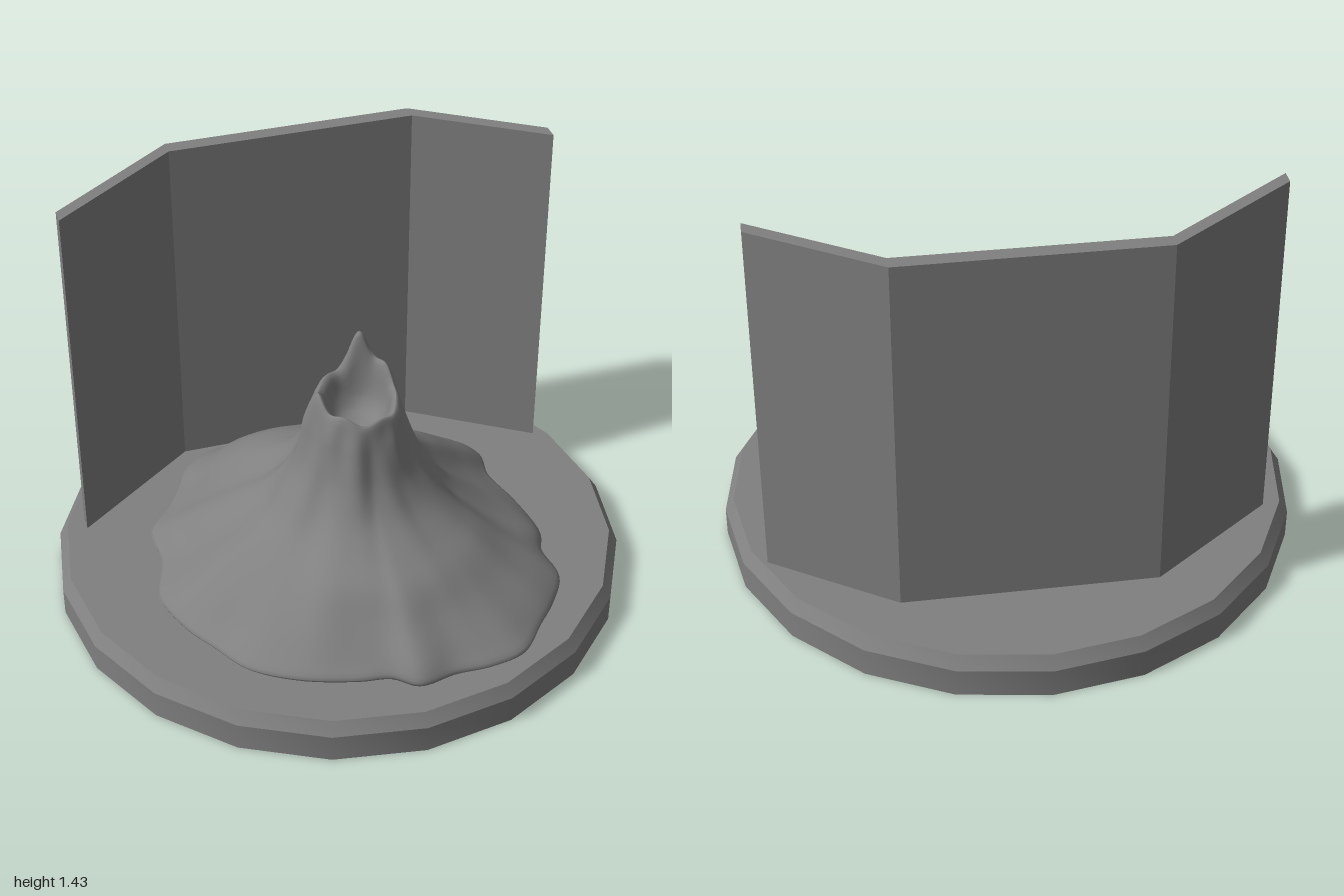
import * as THREE from 'three';
import { toCreasedNormals } from 'three/addons/utils/BufferGeometryUtils.js';

const stone = new THREE.MeshStandardMaterial({ color: 0x808080 });

const CX = 0.02, CZ = 0.18; // axis of the cone
const COLS = 160, ROWS = 56;

// Wavy foot of the mountain as x, z pairs: left, back, right, front
const FOOT = [
  [-0.7, 0.2], [-0.65, 0.02], [-0.65, -0.15], [-0.57, -0.25], [-0.5, -0.36], [-0.45, -0.46], [-0.35, -0.53],
  [-0.17, -0.55], [0.05, -0.52], [0.2, -0.48], [0.33, -0.46], [0.42, -0.38], [0.55, -0.33], [0.62, -0.22],
  [0.61, -0.1], [0.65, 0.07], [0.67, 0.27], [0.64, 0.36], [0.65, 0.5], [0.58, 0.62], [0.5, 0.71],
  [0.4, 0.82], [0.28, 0.85], [0.15, 0.85], [0.02, 0.87], [-0.06, 0.81], [-0.17, 0.79], [-0.35, 0.73],
  [-0.5, 0.63], [-0.58, 0.5], [-0.65, 0.38],
];

// Slope levels: height, then reach to the left, right, back and front
const SLOPE = [
  [0.21, 0.64, 0.61, 0.66, 0.64],
  [0.3, 0.52, 0.48, 0.6, 0.54],
  [0.38, 0.4, 0.38, 0.52, 0.46],
  [0.44, 0.32, 0.32, 0.42, 0.36],
  [0.51, 0.27, 0.27, 0.31, 0.27],
  [0.6, 0.22, 0.22, 0.25, 0.215],
  [0.7, 0.19, 0.18, 0.21, 0.185],
  [0.78, 0.175, 0.15, 0.185, 0.165],
];

// Reach in direction (s, c), s towards +x and c towards +z
function reach([, left, right, back, front], s, c) {
  return s * s * (s < 0 ? left : right) + c * c * (c < 0 ? back : front);
}

// Jagged crater rim: low in front, rising to a horn at the back
function rimHeight(a) {
  const bump = (at, width) => {
    const d = Math.atan2(Math.sin(a - at), Math.cos(a - at));
    return Math.exp(-((d / width) ** 2));
  };
  return 0.85 + 0.09 * bump(2.85, 0.3) + 0.08 * bump(2.5, 1) + 0.03 * bump(-1.5, 0.4)
    + 0.01 * Math.sin(7 * a) - 0.015 * bump(0.2, 0.7);
}

// One column of the mountain, from the foot over the rim into the crater
function column(foot) {
  const dx = foot.x - CX, dz = foot.z - CZ, r = Math.hypot(dx, dz);
  const s = dx / r, c = dz / r, a = Math.atan2(s, c);
  const at = (radius, y) => new THREE.Vector3(CX + s * radius, y, CZ + c * radius);
  const wave = r / reach([0, 0.71, 0.65, 0.72, 0.68], s, c);
  const pts = [at(r * 0.97, 0.14), at(r, 0.165)];
  for (const level of SLOPE) {
    const y = level[0], low = Math.max(0, 1 - (y - 0.2) / 0.45);
    const ripple = 0.03 * Math.sin(5 * a + 1 + y * 4) + 0.025 * Math.sin(9 * a + 2 - y * 5)
      + 0.012 * Math.sin(14 * a + y * 9);
    pts.push(at(reach(level, s, c) * (1 + (wave - 1) * low + ripple * (1 - low * 0.6)), y));
  }
  const h = rimHeight(a);
  const rim = reach([0, 0.145, 0.12, 0.135, 0.145], s, c);
  pts.push(at(rim, h), at(rim * 0.88, h - 0.015), at(rim * 0.74, 0.79), at(rim * 0.5, 0.74), at(0.001, 0.72));
  return new THREE.CatmullRomCurve3(pts, false, 'centripetal');
}

function mountainGeometry() {
  const foot = new THREE.CatmullRomCurve3(FOOT.map(([x, z]) => new THREE.Vector3(x, 0, z)), true);
  const pos = [], index = [];
  for (let i = 0; i < COLS; i++) {
    const curve = column(foot.getPoint(i / COLS));
    for (let j = 0; j <= ROWS; j++) pos.push(...curve.getPoint(j / ROWS).toArray());
  }
  for (let i = 0; i < COLS; i++) {
    for (let j = 0; j < ROWS; j++) {
      const a = i * (ROWS + 1) + j, b = ((i + 1) % COLS) * (ROWS + 1) + j;
      index.push(a, a + 1, b, b, a + 1, b + 1);
    }
  }
  const geo = new THREE.BufferGeometry();
  geo.setAttribute('position', new THREE.Float32BufferAttribute(pos, 3));
  geo.setIndex(index);
  geo.computeVertexNormals();
  return geo;
}

// Twenty-sided base with a chamfered top edge, smooth around its side
function baseGeometry() {
  const profile = [[0, 0], [1, 0], [1, 0.1], [0.97, 0.145], [0, 0.145]];
  const geo = new THREE.LatheGeometry(profile.map(([x, y]) => new THREE.Vector2(x, y)), 20);
  return toCreasedNormals(geo, 0.45);
}

// Folded backdrop: plan outline raised to full height
function backdropGeometry() {
  const plan = [
    [-0.86, -0.31], [-0.86, -0.255], [-0.42, -0.59], [0.45, -0.59],
    [0.87, -0.315], [0.87, -0.37], [0.45, -0.645], [-0.42, -0.645],
  ];
  const shape = new THREE.Shape(plan.map(([x, z]) => new THREE.Vector2(x, -z)));
  const geo = new THREE.ExtrudeGeometry(shape, { depth: 1.29, bevelEnabled: false });
  return geo.rotateX(-Math.PI / 2).translate(0, 0.14, 0);
}

export function createModel() {
  const group = new THREE.Group();
  group.name = 'volcanoDiorama';
  const parts = { base: baseGeometry(), backdrop: backdropGeometry(), volcano: mountainGeometry() };
  for (const [name, geo] of Object.entries(parts)) {
    const mesh = new THREE.Mesh(geo, stone);
    mesh.name = name;
    group.add(mesh);
  }
  return group;
}
